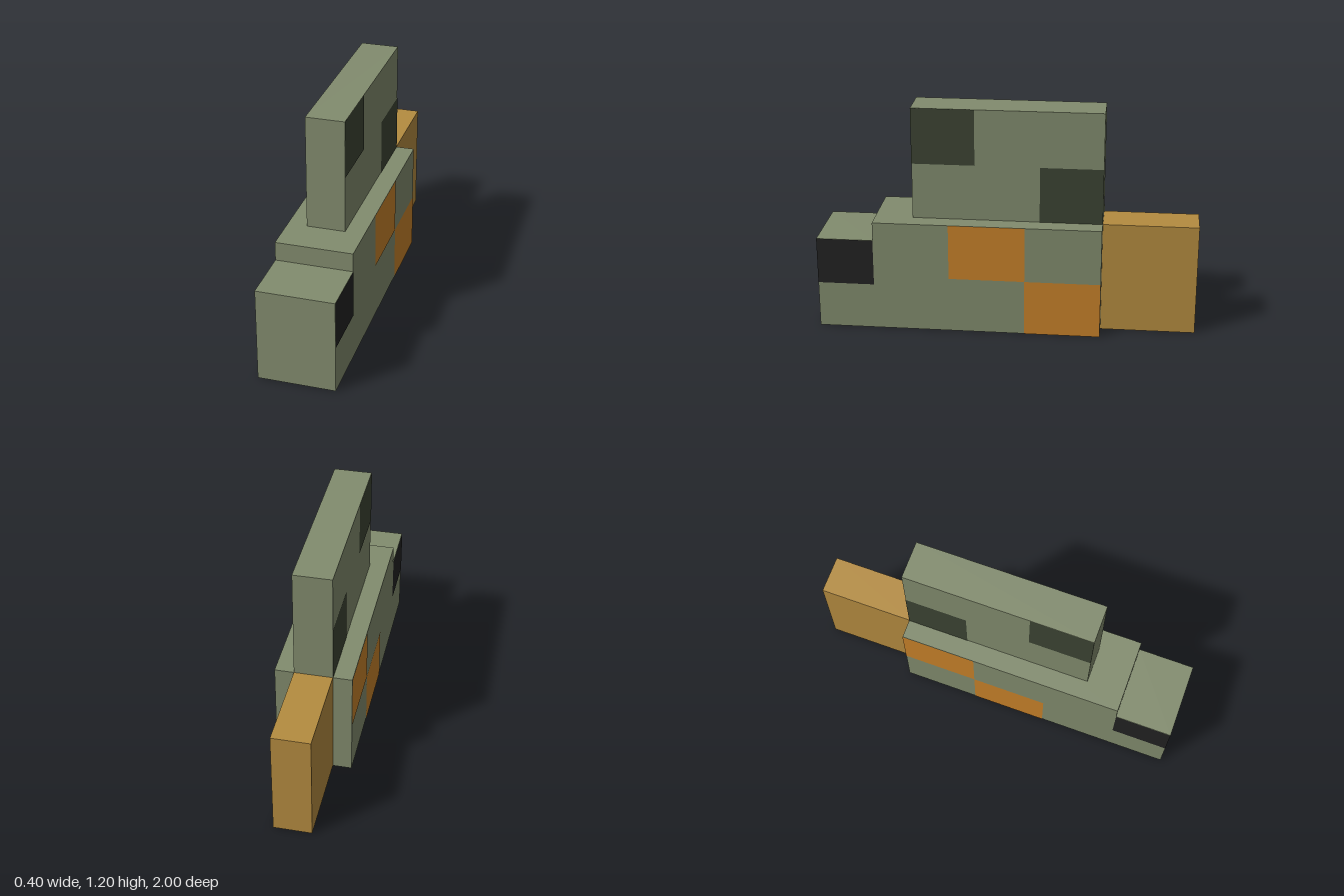
import * as THREE from 'three';

const mat = (name, color) => Object.assign(new THREE.MeshStandardMaterial({ color }), { name });

export function createModel() {
  const model = new THREE.Group();
  model.name = 'steppedBlockModel';

  const green = mat('sage green', 0x828c6e);
  const dark = mat('dark green', 0x3c4433);
  const black = mat('black', 0x222222);
  const orange = mat('orange', 0xc8822a);
  const tan = mat('tan', 0xb58c40);
  const grey = mat('warm grey', 0xa29e90);

  // Block centred on x, given by half width and its y and z ranges
  function block(name, half, y0, y1, z0, z1, material) {
    const mesh = new THREE.Mesh(new THREE.BoxGeometry(half * 2, y1 - y0, z1 - z0), material);
    mesh.position.set(0, (y0 + y1) / 2, (z0 + z1) / 2);
    mesh.name = name;
    model.add(mesh);
  }

  // Flat painted panel just outside a side face (side +1 is left, -1 is right)
  function panel(name, side, half, y0, y1, z0, z1, material) {
    const mesh = new THREE.Mesh(new THREE.PlaneGeometry(z1 - z0, y1 - y0), material);
    mesh.rotation.y = side * Math.PI / 2;
    mesh.position.set(side * (half + 0.002), (y0 + y1) / 2, (z0 + z1) / 2);
    mesh.name = name;
    model.add(mesh);
  }

  // Main blocks; the body has a grey underside
  block('body', 0.2, 0, 0.6, -0.5, 0.7, [green, green, green, grey, green, green]);
  block('nose', 0.2, 0, 0.5, 0.7, 1, green);
  block('upperBlock', 0.1, 0.6, 1.2, -0.5, 0.5, green);
  block('rearBlock', 0.1, 0, 0.6, -1, -0.5, tan);

  // Painted side panels
  for (const side of [1, -1]) {
    panel('nosePanel', side, 0.2, 0.25, 0.5, 0.7, 1, black);
    panel('upperFrontPanel', side, 0.1, 0.9, 1.2, 0.17, 0.5, dark);
    panel('upperRearPanel', side, 0.1, 0.6, 0.9, -0.5, -0.17, dark);
    // The checker is swapped top to bottom between the two sides
    const front = side > 0 ? 0.3 : 0;
    panel('checkerFront', side, 0.2, front, front + 0.3, -0.1, 0.3, orange);
    panel('checkerRear', side, 0.2, 0.3 - front, 0.6 - front, -0.5, -0.1, orange);
  }

  return model;
}
